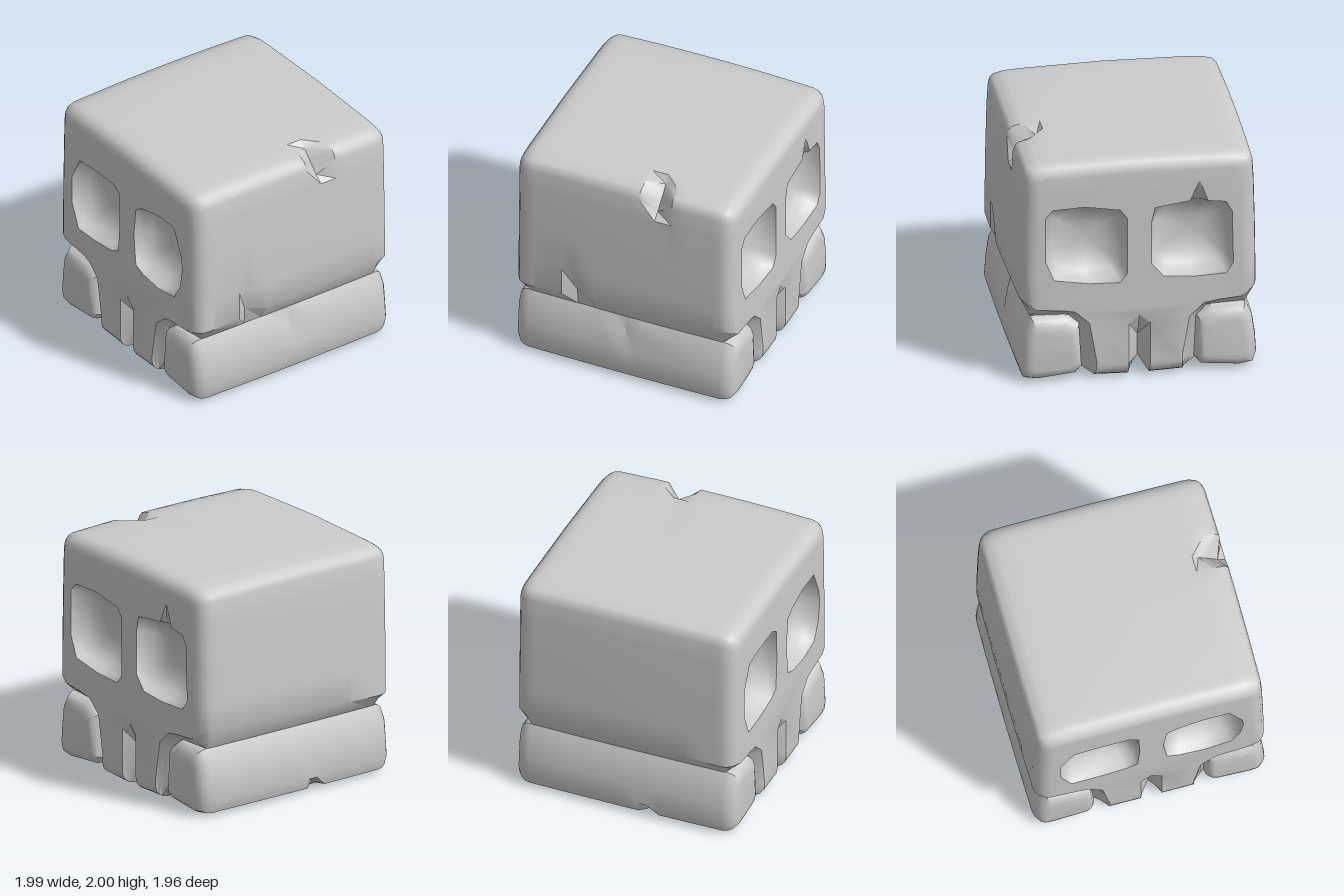
import * as THREE from 'three';
import { mergeGeometries, toCreasedNormals } from 'three/addons/utils/BufferGeometryUtils.js';

const FACE_Z = 0.98, BEVEL = 0.12, CREASE = 0.62, FULL = Math.PI / 2;

// Half outline of the head, bottom centre to top centre:
// [x, y on the face, x, y behind the bevel, 1 if the bevel is a straight groove wall]
const HEAD = [
  [0, 0.57, 0, 0.34, 1], // tooth gap
  [0.09, 0.49, 0, 0.34, 1],
  [0.09, 0.17, 0, 0.15, 1],
  [0.09, 0.12, 0.09, 0, 0], // tooth
  [0.36, 0.12, 0.37, 0.01, 0],
  [0.36, 0.17, 0.48, 0.09, 1], // groove around the cheek
  [0.42, 0.52, 0.49, 0.45, 1],
  [0.54, 0.63, 0.58, 0.555, 1],
  [0.64, 0.65, 0.68, 0.56, 1],
  [0.86, 0.67, 0.9, 0.57, 1],
  [0.87, 0.69, 0.99, 0.68, 0], // lip, side and rounded top
  [0.87, 0.95, 0.99, 0.95, 0],
  [0.86, 1.3, 0.985, 1.3, 0],
  [0.85, 1.7, 0.975, 1.7, 0],
  [0.85, 1.8, 0.965, 1.87, 0],
  [0.84, 1.84, 0.952, 1.92, 0],
  [0.82, 1.86, 0.923, 1.951, 0],
  [0.77, 1.87, 0.83, 1.974, 0],
  [0.69, 1.875, 0.69, 1.982, 0],
  [0, 1.885, 0, 1.997, 0],
];
const GAP = 3, LIP = 10, CORNER = 14, CORNER_END = 17;

// Closed outline of a cheek bar, in the same form
const CHEEK = [
  [0.55, 0.15, 0.47, 0.11, 0],
  [0.58, 0.12, 0.52, 0.045, 0],
  [0.84, 0.1, 0.85, 0.01, 0],
  [0.88, 0.11, 0.965, 0.03, 0],
  [0.895, 0.15, 0.995, 0.12, 0],
  [0.88, 0.28, 0.985, 0.28, 0],
  [0.87, 0.41, 0.96, 0.45, 0],
  [0.83, 0.455, 0.9, 0.575, 0],
  [0.66, 0.455, 0.6, 0.575, 0],
  [0.57, 0.4, 0.49, 0.49, 0],
];
const CHEEK_BOTTOM = 3, CHEEK_SHOULDER = 6;

// Eye outlines, counterclockwise as seen facing each face
const FRONT_EYES = [
  [[-0.66, 1.54], [-0.77, 1.33], [-0.77, 1.08], [-0.68, 0.87], [-0.44, 0.875], [-0.22, 0.9],
    [-0.12, 0.94], [-0.1, 1.22], [-0.11, 1.51], [-0.19, 1.56], [-0.46, 1.56]],
  [[0.13, 1.48], [0.1, 1.22], [0.13, 0.94], [0.23, 0.9], [0.45, 0.875], [0.67, 0.91],
    [0.75, 1.05], [0.78, 1.22], [0.77, 1.34], [0.66, 1.58], [0.44, 1.58], [0.22, 1.53]],
];
const BACK_EYES = [
  [[-0.72, 1.57], [-0.78, 1.5], [-0.78, 1.1], [-0.71, 0.93], [-0.42, 0.88], [-0.16, 0.87],
    [-0.1, 0.95], [-0.1, 1.45], [-0.16, 1.53], [-0.45, 1.58]],
  [[0.13, 1.53], [0.1, 1.4], [0.1, 1.02], [0.2, 0.9], [0.45, 0.88], [0.72, 0.89],
    [0.78, 0.98], [0.77, 1.45], [0.72, 1.54], [0.57, 1.56], [0.5, 1.75], [0.42, 1.57]],
];

// Skin closed rings of points, skipping collapsed triangles
function loft(rings) {
  const out = [], tri = new THREE.Triangle();
  const add = (a, b, c) => {
    if (tri.set(a, b, c).getArea() > 1e-7) for (const p of [a, b, c]) out.push(p.x, p.y, p.z);
  };
  for (let k = 0; k + 1 < rings.length; k++) {
    const n = rings[k].length;
    for (let i = 0; i < n; i++) {
      const j = (i + 1) % n;
      add(rings[k][i], rings[k + 1][i], rings[k][j]);
      add(rings[k][j], rings[k + 1][i], rings[k + 1][j]);
    }
  }
  const g = new THREE.BufferGeometry();
  g.setAttribute('position', new THREE.Float32BufferAttribute(out, 3));
  g.computeVertexNormals();
  return g;
}

// Rings from front to back, with rounded ends
function ringsAlong(middle, ringAt) {
  const bevel = [0, 1, 2, 3, 4].map((k) => {
    const a = (k / 4) * FULL;
    return [FACE_Z - BEVEL * (1 - Math.cos(a)), a];
  });
  return [
    ...bevel.map(([z, a]) => ringAt(z, a)),
    ...middle.map((z) => ringAt(z, FULL)),
    ...bevel.slice().reverse().map(([z, a]) => ringAt(-z, a)),
  ];
}

// Blend an outline point from the face to its place behind the bevel, with a slight pillow shape
function bevelPoint([cx, cy, , , straight], [x, y], side, z, angle) {
  const f = straight ? 1 - Math.cos(angle) : Math.sin(angle);
  const px = cx + (x - cx) * f, py = cy + (y - cy) * f;
  const drop = py > 1.2 ? 0.02 * z * z * (py - 1.2) / 0.8 : 0;
  return new THREE.Vector3(side * px * (1 - 0.012 * z * z), py - drop, z);
}

function headPoint(i, side, z, angle) {
  let [, , x, y] = HEAD[i];
  // tooth gap runs under the head and fades out
  if (i < GAP && Math.abs(z) <= 0.8) {
    y = 0.14 * THREE.MathUtils.clamp((Math.abs(z) - 0.28) / 0.4, 0, 1);
  }
  if (i === LIP) y += 0.035 * (1 - z);
  // chips in the top edge and lip of the left side
  if (side > 0 && z === -0.28 && i >= CORNER && i <= CORNER_END) {
    const t = (i - CORNER + 1) / 5;
    x = 0.96 - 0.27 * t;
    y = 1.7 + 0.28 * t;
  }
  if (side > 0 && z === 0.44 && i === LIP) [x, y] = [0.91, 0.72];
  return bevelPoint(HEAD[i], [x, y], side, z, angle);
}

function headRing(z, angle) {
  const ring = HEAD.map((_, i) => headPoint(i, 1, z, angle));
  for (let i = HEAD.length - 2; i > 0; i--) ring.push(headPoint(i, -1, z, angle));
  return ring;
}

function cheekRing(side, z, angle) {
  const ring = CHEEK.map((p, i) => {
    let [, , x, y] = p;
    // one chip in each bar
    if (side > 0 && z === 0 && i === CHEEK_SHOULDER) x = 0.92;
    if (side < 0 && z === 0.2 && i === CHEEK_BOTTOM) [x, y] = [0.92, 0.07];
    return bevelPoint(p, [x, y], side, z, angle);
  });
  return side > 0 ? ring : ring.reverse();
}

function facePlate(ring, eyes) {
  const shape = new THREE.Shape(ring.map((p) => new THREE.Vector2(p.x, p.y)));
  for (const eye of eyes) {
    shape.holes.push(new THREE.Path(eye.map(([x, y]) => new THREE.Vector2(x, y))));
  }
  const g = new THREE.ShapeGeometry(shape).toNonIndexed();
  g.deleteAttribute('uv');
  return g.translate(0, 0, FACE_Z);
}

// Close a lofted body with its two end plates
function solid(rings, front, back) {
  return toCreasedNormals(mergeGeometries([loft(rings), front, back.rotateY(Math.PI)]), CREASE);
}

// Bowl behind an eye outline; any crack above the brow stays shallow
function eyeSocket(outline) {
  const brow = 1.58;
  const inner = outline.map(([x, y]) => new THREE.Vector2(x, Math.min(y, brow)));
  const c = new THREE.Box2().setFromPoints(inner).getCenter(new THREE.Vector2());
  const steps = [[0.93, 0.07], [0.81, 0.14], [0.62, 0.19], [0.35, 0.22], [0, 0.23]];
  const rings = [
    outline.map(([x, y]) => new THREE.Vector3(x, y, FACE_Z)),
    ...steps.map(([s, d]) => inner.map((p) =>
      new THREE.Vector3(c.x + (p.x - c.x) * s, c.y + (p.y - c.y) * s, FACE_Z - d))),
  ];
  return toCreasedNormals(loft(rings.map((r) => r.reverse())), 1.2);
}

export function createModel() {
  const model = new THREE.Group();
  const material = new THREE.MeshStandardMaterial({ color: 0xcccccc, roughness: 0.8 });
  const addMesh = (name, geometry, parent = model) => {
    const mesh = new THREE.Mesh(geometry, material);
    mesh.name = name;
    parent.add(mesh);
  };

  // Head with teeth
  const head = ringsAlong([0.8, 0.55, 0.44, 0.27, 0, -0.14, -0.28, -0.43, -0.55, -0.8], headRing);
  addMesh('head', solid(head, facePlate(head[0], FRONT_EYES), facePlate(head[0], BACK_EYES)));

  // Eye sockets on both faces
  [['front', FRONT_EYES, 0], ['back', BACK_EYES, Math.PI]].forEach(([name, eyes, turn]) => {
    const group = new THREE.Group();
    group.name = name + 'EyeSockets';
    group.rotation.y = turn;
    eyes.forEach((eye) => addMesh('eyeSocket', eyeSocket(eye), group));
    model.add(group);
  });

  // Cheek bars
  for (const side of [1, -1]) {
    const rings = ringsAlong([0.6, 0.3, 0.2, 0.12, 0, -0.12, -0.6], (z, a) => cheekRing(side, z, a));
    const plates = [side, -side].map((s) => facePlate(cheekRing(s, FACE_Z, 0), []));
    addMesh(side > 0 ? 'leftCheek' : 'rightCheek', solid(rings, ...plates));
  }
  return model;
}
